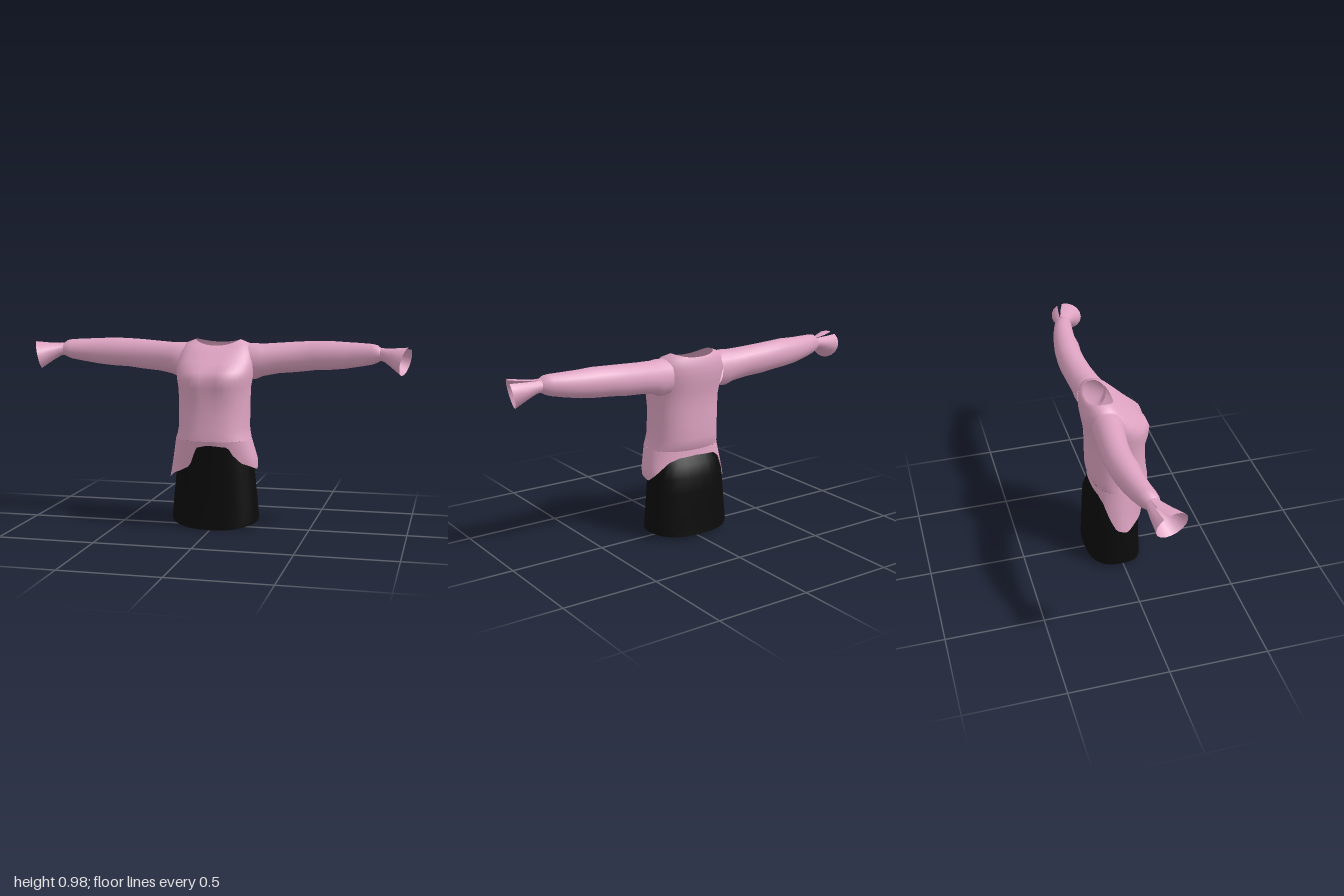
import * as THREE from 'three';

const pink = new THREE.MeshStandardMaterial({ color: 0xdda3c1, side: THREE.DoubleSide });
pink.name = 'pink knit';
const black = new THREE.MeshStandardMaterial({ color: 0x0b0b0b, side: THREE.DoubleSide });
black.name = 'black cloth';

// Skin a surface over rings of [x, y, z] points
function loft(name, rings, material, closed = true) {
  const n = rings[0].length, index = [];
  for (let r = 0; r < rings.length - 1; r++) {
    for (let i = 0; i < (closed ? n : n - 1); i++) {
      const a = r * n + i, b = r * n + (i + 1) % n, c = a + n, d = b + n;
      index.push(a, b, d, a, d, c);
    }
  }
  const geo = new THREE.BufferGeometry();
  geo.setAttribute('position', new THREE.Float32BufferAttribute(rings.flat(2), 3));
  geo.setIndex(index);
  geo.computeVertexNormals();
  const mesh = new THREE.Mesh(geo, material);
  mesh.name = name;
  return mesh;
}

const soft = (v, p) => Math.sign(v) * Math.abs(v) ** p;
const lerp = THREE.MathUtils.lerp;

// Horizontal ring, angle 0 at the front, turning towards +x
function ring(n, w, zf, zb, yAt, p = 0.85) {
  return Array.from({ length: n }, (_, i) => {
    const a = i / n * Math.PI * 2, c = soft(Math.cos(a), p);
    return [w * soft(Math.sin(a), p), yAt(a), (zf + zb) / 2 + (zf - zb) / 2 * c];
  });
}

// Piecewise-linear lookup in a sorted list of [key, value]
function lookup(table, k) {
  let i = 1;
  while (i < table.length - 1 && table[i][0] < k) i++;
  const [k0, v0] = table[i - 1], [k1, v1] = table[i];
  return lerp(v0, v1, THREE.MathUtils.clamp((k - k0) / (k1 - k0), 0, 1));
}

function makeTorso() {
  // height, half width, front z, back z, lift at the sides
  const rows = [
    [0.47, 0.197, 0.168, -0.128, 0], [0.495, 0.19, 0.167, -0.14, 0],
    [0.53, 0.184, 0.162, -0.146, 0], [0.6, 0.184, 0.155, -0.147, 0],
    [0.68, 0.185, 0.15, -0.147, 0], [0.74, 0.188, 0.158, -0.15, 0],
    [0.78, 0.195, 0.161, -0.156, 0], [0.82, 0.2, 0.15, -0.163, 0],
    [0.865, 0.2, 0.1, -0.17, 0], [0.905, 0.19, 0.055, -0.17, 0.01],
    [0.935, 0.165, 0.018, -0.163, 0.022], [0.945, 0.118, -0.012, -0.15, 0.03],
  ];
  const rings = rows.map(([y, w, zf, zb, lift]) => ring(40, w, zf, zb, a =>
    y + lift * Math.sin(a) ** 2 + (y > 0.93 ? 0.012 * (Math.cos(a) < 0) * Math.cos(a) ** 2 : 0)));
  // Chest fullness with a shallow hollow at the middle
  for (const p of rings.flat()) {
    if (p[2] < 0.03) continue;
    const h = Math.exp(-(((p[1] - 0.77) / 0.07) ** 2));
    p[2] += h * (0.014 * Math.exp(-(((Math.abs(p[0]) - 0.08) / 0.05) ** 2)) - 0.008 * Math.exp(-((p[0] / 0.03) ** 2)));
  }
  return loft('torso', rings, pink);
}

// Uneven hem hanging lowest at both hips
function makeHem() {
  const edge = [
    [-180, 0.44], [-150, 0.43], [-135, 0.4], [-118, 0.33], [-102, 0.265], [-85, 0.25], [-62, 0.283],
    [-40, 0.305], [-24, 0.335], [-15, 0.435], [0, 0.45], [26, 0.44], [31, 0.4], [43, 0.355],
    [70, 0.325], [92, 0.31], [115, 0.35], [138, 0.415], [155, 0.435], [180, 0.44],
  ];
  const rings = [];
  for (let r = 0; r <= 6; r++) {
    const t = 1 - r / 6;
    rings.push(ring(80, 0, 0, 0, a => {
      const deg = a * 180 / Math.PI;
      return lerp(0.47, lookup(edge, deg > 180 ? deg - 360 : deg), t);
    }).map(([, y], i) => {
      const a = i / 80 * Math.PI * 2, k = (0.47 - y) / 0.22;
      const w = Math.sin(a) > 0 ? 0.197 + 0.03 * Math.min(1, k * 2) : 0.197 + 0.04 * k;
      const zf = lerp(0.168, 0.13, Math.min(1, k * 1.4)), zb = lerp(-0.128, -0.15, k);
      const wave = 1 + 0.02 * k * Math.sin(a * 7);
      return [w * wave * soft(Math.sin(a), 0.85), y, (zf + zb) / 2 + (zf - zb) / 2 * soft(Math.cos(a), 0.85)];
    }));
  }
  return loft('hem', rings, pink);
}

// Upright ring around the arm, from its top, bottom, front and back limits
function armRing(n, [x, top, bottom, zf, zb], xAt = () => 0, start = 0, sweep = Math.PI * 2, closed = true) {
  return Array.from({ length: n }, (_, i) => {
    const a = start + i / (closed ? n : n - 1) * sweep;
    return [x + xAt(a), (top + bottom) / 2 + (top - bottom) / 2 * Math.sin(a),
      (zf + zb) / 2 - (zf - zb) / 2 * Math.cos(a)];
  });
}

function makeArm() {
  const arm = new THREE.Group();
  const stations = [
    [0.15, 0.955, 0.775, 0.0, -0.15], [0.2, 0.957, 0.77, 0.005, -0.155], [0.24, 0.955, 0.787, -0.005, -0.157],
    [0.32, 0.96, 0.802, -0.022, -0.165], [0.42, 0.967, 0.81, -0.034, -0.173], [0.5, 0.971, 0.82, -0.037, -0.173],
    [0.58, 0.973, 0.824, -0.03, -0.166], [0.66, 0.969, 0.832, -0.033, -0.152], [0.74, 0.966, 0.846, -0.026, -0.135],
    [0.8, 0.963, 0.858, -0.018, -0.117], [0.825, 0.958, 0.868, -0.018, -0.107], [0.845, 0.943, 0.88, -0.022, -0.092],
  ];
  arm.add(loft('sleeve', stations.map(s => armRing(20, s)), pink));

  // Flared cuff, slit along the upper back, with a slanted mouth
  const slant = k => a => k * (0.015 * Math.sin(a) + 0.022 * Math.cos(a));
  const cuff = [
    [[0.84, 0.945, 0.88, -0.022, -0.092], 0, 0.05], [[0.865, 0.943, 0.875, -0.008, -0.092], 0.2, 0.1],
    [[0.91, 0.946, 0.85, 0.025, -0.092], 0.6, 0.22], [[0.97, 0.953, 0.81, 0.072, -0.088], 1, 0.36],
  ].map(([s, k, gap]) => armRing(17, s, slant(k), 1.15 + gap / 2, Math.PI * 2 - gap, false));
  arm.add(loft('cuff', cuff, pink, false));
  return arm;
}

function makeSkirt() {
  const rows = [
    [0.02, 0.226, 0.122, -0.168], [0.045, 0.23, 0.119, -0.165], [0.14, 0.221, 0.117, -0.162],
    [0.25, 0.21, 0.117, -0.159], [0.33, 0.202, 0.119, -0.155], [0.39, 0.19, 0.12, -0.135],
    [0.44, 0.178, 0.122, -0.11], [0.465, 0.172, 0.122, -0.1],
  ];
  const rings = rows.map(([y, w, zf, zb], r) => ring(24, w, zf, zb, a => {
    const dip = r === 0 ? 0.012 * Math.sin(a) ** 2 - (Math.cos(a) > 0 ? 0.02 : 0.004) * Math.cos(a) ** 2 : 0;
    return y + dip;
  }, 0.8));
  return loft('skirt', rings, black);
}

export function createModel() {
  const model = new THREE.Group();
  model.name = 'sweaterAndSkirt';
  model.add(makeTorso(), makeHem(), makeSkirt());

  for (const side of [1, -1]) {
    const arm = makeArm();
    arm.name = side > 0 ? 'leftArm' : 'rightArm';
    arm.scale.x = side;
    model.add(arm);
  }

  // Narrow strap across the skirt opening
  const strap = new THREE.Mesh(new THREE.BoxGeometry(0.018, 0.004, 0.285), black);
  strap.name = 'skirtStrap';
  strap.position.set(0, 0.01, -0.022);
  strap.rotation.x = 0.04;
  model.add(strap);
  return model;
}
